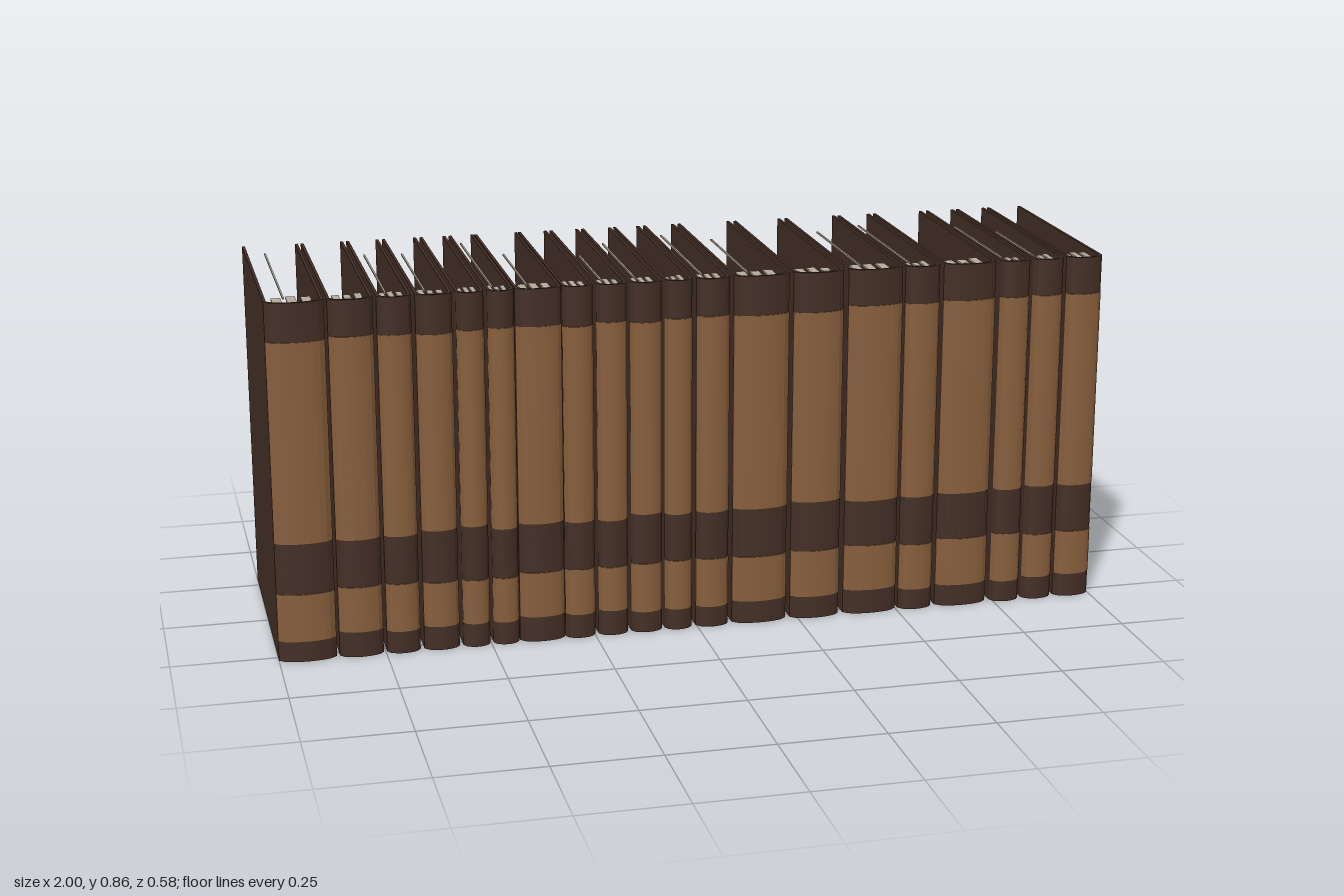
import * as THREE from 'three';

const HEIGHT = 0.86, BACK = -0.29, HINGE = 0.27, CREST = 0.29, BOARD = 0.007;

// left and right limits of every volume on the shelf
const BOOKS = [
  [-1, -0.865], [-0.858, -0.755], [-0.747, -0.668], [-0.659, -0.575], [-0.566, -0.502],
  [-0.494, -0.432], [-0.43, -0.322], [-0.32, -0.248], [-0.24, -0.168], [-0.16, -0.085],
  [-0.078, -0.012], [-0.002, 0.078], [0.088, 0.222], [0.233, 0.355], [0.367, 0.5],
  [0.507, 0.592], [0.602, 0.732], [0.744, 0.818], [0.826, 0.902], [0.91, 1]
];

function seeded(seed) {
  return () => (seed = (seed * 16807) % 2147483647) / 2147483647;
}

// points of the rounded spine, as (x, -z) for an upward extrusion
function spineArc(a, b, offset, steps = 10) {
  const pts = [];
  for (let i = 0; i <= steps; i++) {
    const t = i / steps;
    const bulge = Math.sqrt(Math.sin(Math.PI * t));
    pts.push(new THREE.Vector2(a + (b - a) * t, -(HINGE + offset + (CREST - HINGE) * bulge)));
  }
  return pts;
}

function extrudeUp(points, y0, y1) {
  const geo = new THREE.ExtrudeGeometry(new THREE.Shape(points), { depth: y1 - y0, bevelEnabled: false });
  geo.rotateX(-Math.PI / 2);
  geo.translate(0, y0, 0);
  return geo;
}

export function createModel() {
  const model = new THREE.Group();
  model.name = 'bookRow';
  const rand = seeded(77);

  const dark = new THREE.MeshStandardMaterial({ color: 0x432e25 });
  dark.name = 'dark leather';
  const tan = new THREE.MeshStandardMaterial({ color: 0x875e3c });
  tan.name = 'tan leather';
  const paper = new THREE.MeshStandardMaterial({ color: 0xb5aa9a });
  paper.name = 'paper';

  const add = (parent, name, geo, mat) => {
    const mesh = new THREE.Mesh(geo, mat);
    mesh.name = name;
    parent.add(mesh);
    return mesh;
  };
  const box = (parent, name, mat, w, h, d, x, y, z) =>
    add(parent, name, new THREE.BoxGeometry(w, h, d), mat).position.set(x, y, z);

  BOOKS.forEach(([x0, x1], index) => {
    const book = new THREE.Group();
    book.name = 'book' + (index + 1);
    model.add(book);
    const w = x1 - x0, mid = (x0 + x1) / 2;
    const vary = (v) => v + (rand() - 0.5) * 0.012;

    // cover: two boards joined by a rounded spine, open at the back
    const outline = [
      new THREE.Vector2(x0, -BACK),
      ...spineArc(x0, x1, 0),
      new THREE.Vector2(x1, -BACK),
      new THREE.Vector2(x1 - BOARD, -BACK),
      ...spineArc(x1 - BOARD, x0 + BOARD, -BOARD),
      new THREE.Vector2(x0 + BOARD, -BACK)
    ];
    add(book, 'cover', extrudeUp(outline, 0, HEIGHT), dark);

    // two tan panels on the spine, leaving dark bands between them
    const skin = [...spineArc(x0, x1, 0.002), ...spineArc(x1, x0, 0)];
    add(book, 'lowerSpinePanel', extrudeUp(skin, vary(0.056), vary(0.17)), tan);
    add(book, 'upperSpinePanel', extrudeUp(skin, vary(0.293), vary(0.77)), tan);

    // remnants of the page block near the spine and along the boards
    for (const y of [0.012, HEIGHT - 0.012]) {
      for (const s of [-0.25, 0, 0.25]) {
        box(book, 'pageEnd', paper, w * 0.16, 0.004, 0.03 + rand() * 0.03, mid + s * w, y, 0.22);
      }
      if (index % 3 !== 1) {
        const length = 0.25 + rand() * 0.2;
        box(book, 'pageEdge', paper, index === 16 ? 0.025 : 0.004, 0.004, length,
          mid - w * 0.12, y, 0.2 - length / 2);
      }
    }
  });
  return model;
}
